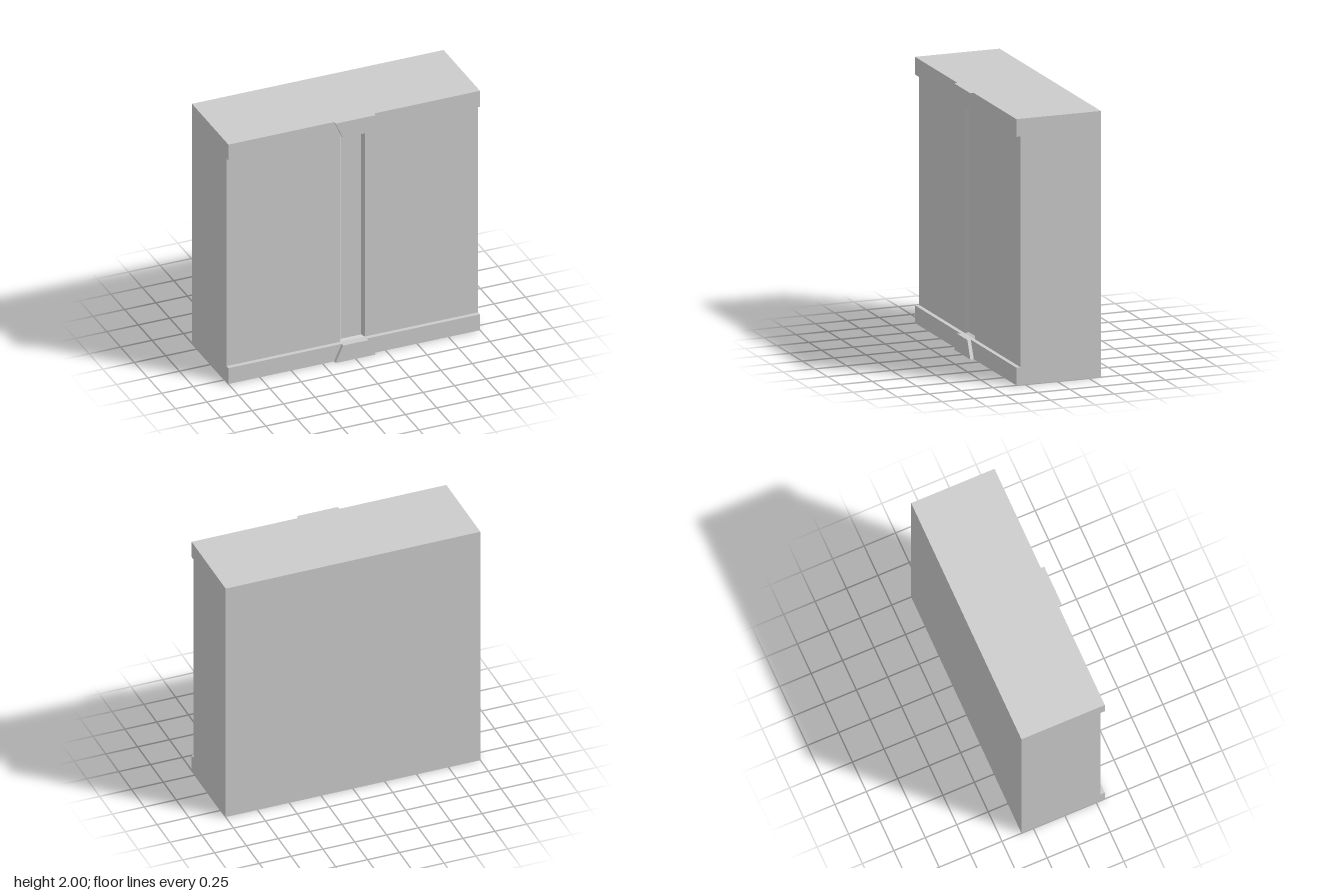
import * as THREE from 'three';

const stone = new THREE.MeshStandardMaterial({ color: 0xcccccc });
stone.name = 'pale stone';

const BACK = -0.345, FLOOR = 0.262, FACE = 0.285, BAND = 0.318, KEY = 0.345;
const LOW = 0.133, HIGH = 2 - LOW, BEVEL = 0.01;

// Extrude a closed polygon along +z
function prism(points, depth) {
  const shape = new THREE.Shape(points.map(([a, b]) => new THREE.Vector2(a, b)));
  return new THREE.ExtrudeGeometry(shape, { depth, bevelEnabled: false });
}

function addPart(group, name, geometry) {
  const mesh = new THREE.Mesh(geometry, stone);
  mesh.name = name;
  group.add(mesh);
}

export function createModel() {
  const group = new THREE.Group();
  group.name = 'wallBlock';

  // Block with top and bottom bands: a side profile (z, y) run across x
  const body = prism([
    [BACK, 0], [BAND, 0], [BAND, LOW], [FACE, LOW], [FLOOR, LOW + BEVEL],
    [FLOOR, HIGH - BEVEL], [FACE, HIGH], [BAND, HIGH], [BAND, 2], [BACK, 2],
  ], 2);
  body.rotateY(-Math.PI / 2).translate(1, 0, 0);
  addPart(group, 'bodyWithBands', body);

  // Raised panels either side of the central groove, with sloped groove walls
  for (const [side, name] of [[1, 'leftPanel'], [-1, 'rightPanel']]) {
    const panel = prism([
      [side * 0.08, -FLOOR], [side, -FLOOR], [side, -FACE], [side * 0.1, -FACE],
    ], HIGH - LOW);
    panel.rotateX(-Math.PI / 2).translate(0, LOW, 0);
    addPart(group, name, panel);
  }

  // Tapered keystones on both bands, wide at the outer edge
  for (const [outer, inner, name] of [[2, HIGH, 'topKeystone'], [0, LOW, 'bottomKeystone']]) {
    const key = prism([[-0.16, outer], [0.16, outer], [0.1, inner], [-0.1, inner]], KEY - BAND);
    key.translate(0, 0, BAND);
    addPart(group, name, key);
  }
  return group;
}
